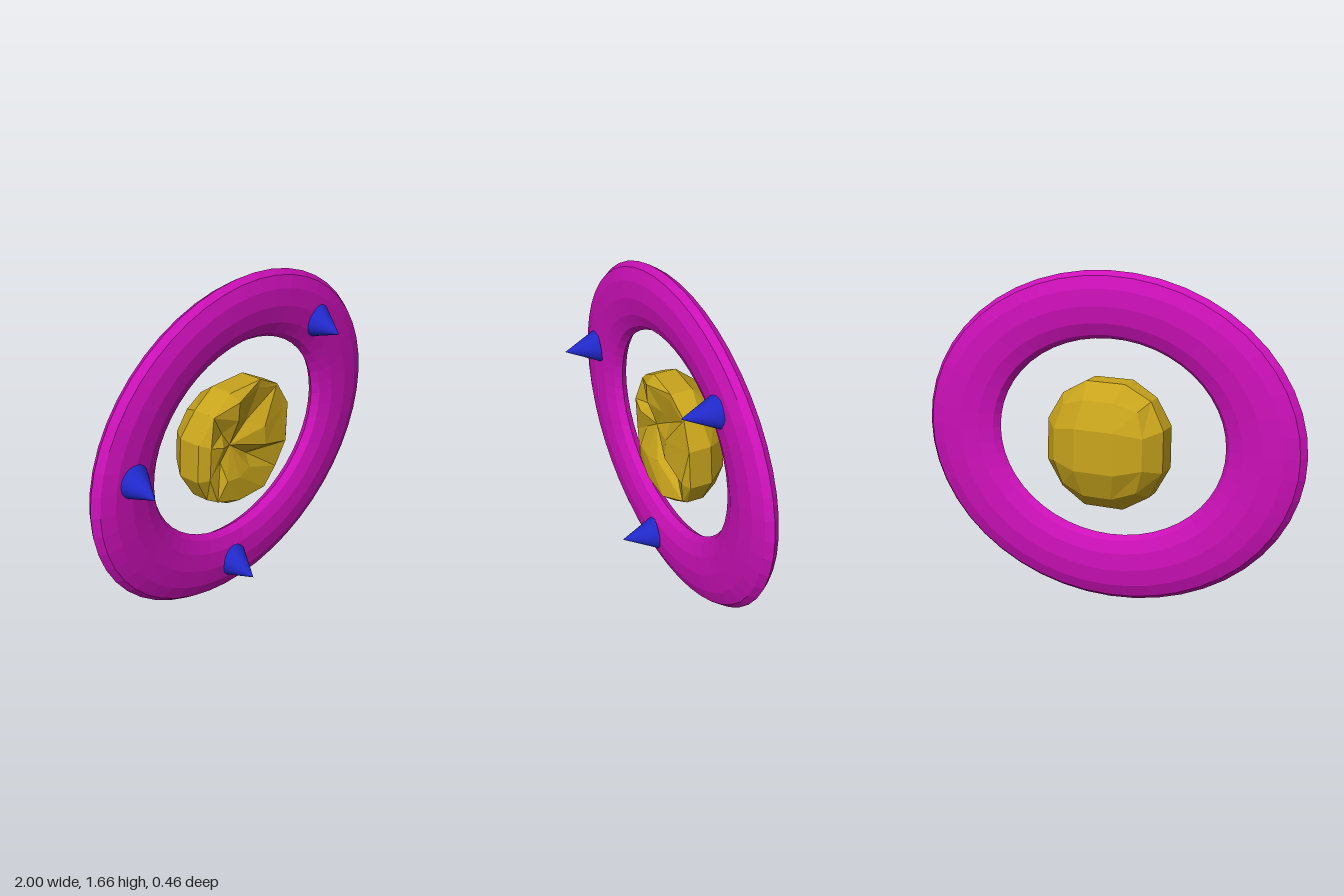
import * as THREE from 'three';

const material = (color, flatShading) => new THREE.MeshStandardMaterial({ color, flatShading });

// Oval ring: a torus flattened in depth and squashed in height
function makeRing() {
  const geo = new THREE.TorusGeometry(0.8, 0.2, 12, 48);
  geo.scale(1, 0.83, 0.345);
  const ring = new THREE.Mesh(geo, material(0xcc10b8, true));
  ring.name = 'ring';
  ring.position.set(0, 0.835, -0.005);
  ring.rotation.y = -0.004;
  return ring;
}

// Cone spike from a base point to a tip, slightly leaning
function makeSpike(x, y) {
  const base = new THREE.Vector3(x, y, 0.045);
  const axis = new THREE.Vector3(-0.035, -0.015, 0.175);
  const length = axis.length();
  const geo = new THREE.ConeGeometry(0.088, length, 32);
  geo.translate(0, length / 2, 0);
  const spike = new THREE.Mesh(geo, material(0x2028c8, false));
  spike.name = 'spike';
  spike.position.copy(base);
  spike.quaternion.setFromUnitVectors(new THREE.Vector3(0, 1, 0), axis.normalize());
  return spike;
}

// Nugget: rounded cube with a faceted back and a crumpled, pitted front
function makeNugget() {
  const R = 0.345;
  const rimZ = [0.07, 0.06, 0.06, 0.095, 0.05, 0.07, 0.06, 0.07, 0.09, 0.1, 0.06, 0.088];
  const midZ = [0.09, 0.03, 0.05, 0.09, 0.03, 0.08, 0.05, 0.09, 0.095, 0.08, 0.015, 0.095];
  const midR = [0.55, 0.4, 0.5, 0.6, 0.4, 0.55, 0.5, 0.6, 0.55, 0.5, 0.45, 0.55];
  const pit = new THREE.Vector3(-0.1, 0.025, 0.035);
  const rim = [];
  const out = [];
  const push = (...points) => points.forEach((p) => out.push(p.x, p.y, p.z));

  // Back and sides, skipping the front face of the cube
  const cube = new THREE.BoxGeometry(2, 2, 2, 3, 3, 3).toNonIndexed().attributes.position;
  for (let k = 0; k < cube.count; k++) {
    if (k >= 216 && k < 270) continue;
    const v = new THREE.Vector3().fromBufferAttribute(cube, k);
    const atFront = v.z > 0.99;
    const turn = (THREE.MathUtils.radToDeg(Math.atan2(v.y, v.x)) - 15) / 30;
    const i = (Math.round(turn) + 12) % 12;
    v.normalize().multiplyScalar(R);
    if (atFront) {
      v.set(v.x * 1.15, v.y * 1.15, rimZ[i]);
      rim[i] = v;
    } else {
      v.z *= v.z < 0 ? 0.72 : 0.4;
      v.z += 0.07 * v.x + 0.04 * v.y;
    }
    push(v);
  }

  // Crumpled front: ridges and creases running into the pit
  const mid = rim.map((p, i) => {
    const m = pit.clone().lerp(p, midR[i]);
    m.z = midZ[i];
    return m;
  });
  for (let i = 0; i < 12; i++) {
    const j = (i + 1) % 12;
    push(rim[i], rim[j], mid[i], rim[j], mid[j], mid[i], mid[i], mid[j], pit);
  }

  const geo = new THREE.BufferGeometry();
  geo.setAttribute('position', new THREE.Float32BufferAttribute(out, 3));
  geo.computeVertexNormals();
  const nugget = new THREE.Mesh(geo, material(0xc8a41c, true));
  nugget.name = 'nugget';
  nugget.position.set(0, 0.815, 0);
  return nugget;
}

export function createModel() {
  const model = new THREE.Group();
  model.name = 'spikedRingWithNugget';
  model.add(makeRing(), makeNugget());
  for (const [x, y] of [[0.555, 1.28], [-0.785, 0.95], [-0.1, 0.175]]) model.add(makeSpike(x, y));
  return model;
}
